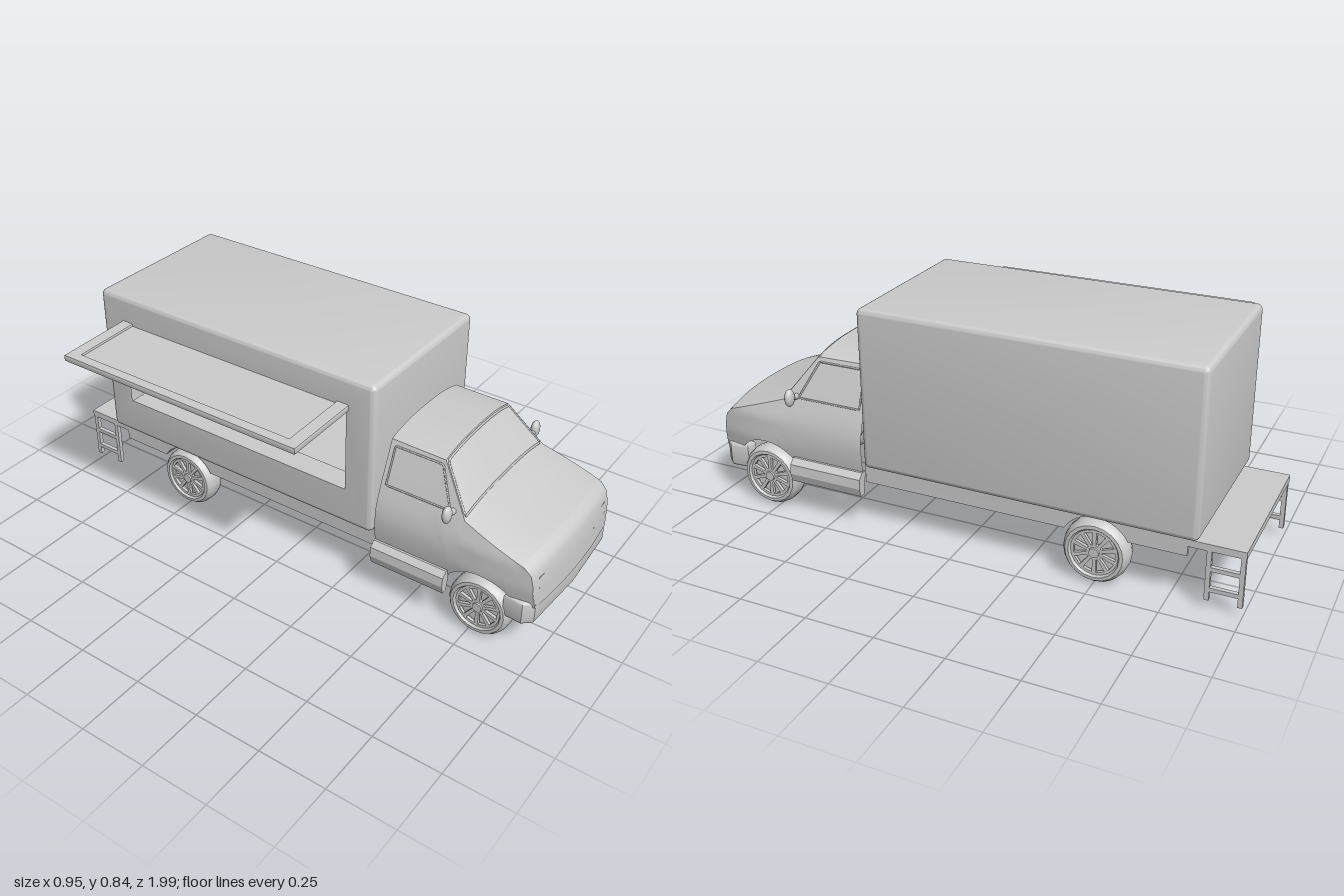
import * as THREE from 'three';
import { toCreasedNormals } from 'three/addons/utils/BufferGeometryUtils.js';
import { RoundedBoxGeometry } from 'three/addons/geometries/RoundedBoxGeometry.js';

const grey = new THREE.MeshStandardMaterial({ color: 0xcccccc });
const thin = new THREE.MeshStandardMaterial({ color: 0xcccccc, side: THREE.DoubleSide });

function add(parent, name, geo, x = 0, y = 0, z = 0, mat = grey) {
  const m = new THREE.Mesh(geo, mat);
  m.name = name;
  m.position.set(x, y, z);
  parent.add(m);
  return m;
}
const box = (w, h, d) => new THREE.BoxGeometry(w, h, d);
const shapeOf = pts => new THREE.Shape(pts.map(p => new THREE.Vector2(...p)));
const extrude = (shape, depth, opts = {}) =>
  new THREE.ExtrudeGeometry(shape, { depth, bevelEnabled: false, curveSegments: 12, ...opts });

// Piecewise linear lookup in [[key, value], ...]
function lookup(table, k) {
  if (k <= table[0][0]) return table[0][1];
  for (let i = 1; i < table.length; i++) {
    const [a, va] = table[i - 1], [b, vb] = table[i];
    if (k <= b) return va + (vb - va) * (k - a) / (b - a);
  }
  return table[table.length - 1][1];
}

// Cab outline rules: half width by height, roof and hood edge height by z
const WIDTH = [[0.2, 0.295], [0.27, 0.308], [0.36, 0.306], [0.44, 0.278], [0.6, 0.213]];
const EDGE = [[0.37, 0.598], [0.58, 0.595], [0.7, 0.436], [0.93, 0.36], [0.955, 0.335], [0.967, 0.29], [0.975, 0.2]];
const cabX = (y, z) => lookup(WIDTH, y) * (1 - 0.07 * Math.max(0, (z - 0.75) / 0.225) ** 2);
const bulge = (s, z) => 0.018 * (1 - s * s) * THREE.MathUtils.smoothstep(z, 0.8, 0.975);

// Point across the top of the cab, s from -1 to 1
function cabTop(z, s) {
  const e = lookup(EDGE, z);
  const crown = 0.026 * Math.min(1, (e - 0.2) / 0.1);
  return new THREE.Vector3(cabX(e, z) * s, e + crown * (1 - Math.abs(s) ** 2.6), z + bulge(s, z));
}
function cabBottom(z) {
  const d = 0.145 ** 2 - (z - 0.78) ** 2;
  return d > 0 ? Math.max(0.2, 0.12 + Math.sqrt(d)) : 0.2;
}

function cabGeometry() {
  const zs = [0.37, 0.42, 0.48, 0.54, 0.58, 0.61];
  for (let z = 0.64; z < 0.94; z += 0.01) zs.push(z);
  zs.push(0.945, 0.955, 0.961, 0.967, 0.971, 0.975);
  const pos = [], idx = [], side = 8, across = 20;
  for (const z of zs) {
    const low = cabBottom(z), high = lookup(EDGE, z), row = [];
    for (let i = 0; i < side; i++) {
      const y = low + (high - low) * i / side;
      row.push([-cabX(y, z), y, z]);
    }
    const right = row.map(([x, y, d]) => [-x, y, d]).reverse();
    for (let i = 0; i <= across; i++) row.push(cabTop(z, -Math.cos(Math.PI * i / across)).toArray());
    row.push(...right);
    row.forEach(p => pos.push(...p));
  }
  const n = 2 * side + across + 1;
  for (let r = 0; r < zs.length - 1; r++) for (let i = 0; i < n - 1; i++) {
    const a = r * n + i, b = a + n;
    idx.push(a, b, a + 1, b, b + 1, a + 1);
  }
  const g = new THREE.BufferGeometry();
  g.setAttribute('position', new THREE.Float32BufferAttribute(pos, 3));
  g.setIndex(idx);
  return toCreasedNormals(g, 0.6);
}

function seal(pts, r = 0.004) {
  const curve = new THREE.CatmullRomCurve3(pts, true, 'catmullrom', 0);
  return new THREE.TubeGeometry(curve, 96, r, 5, true);
}

// Rounded cargo box whose serving side is replaced by a panel with a hatch
function cargoGeometry() {
  const w = 0.63, h = 0.59, d = 1.21, r = 0.02;
  const p = new RoundedBoxGeometry(w, h, d, 3, r).attributes.position.array;
  const keep = [];
  for (let i = 0; i < p.length; i += 9) {
    const flat = [0, 3, 6].every(k => p[i + k] < -w / 2 + 1e-4);
    if (!flat) for (let k = 0; k < 9; k++) keep.push(p[i + k]);
  }
  const a = d / 2 - r, b = h / 2 - r;
  const s = shapeOf([[-a, -b], [a, -b], [a, b], [-a, b]]);
  s.holes.push(shapeOf([[-0.495, -0.15], [-0.495, 0.185], [0.495, 0.185], [0.495, -0.15]]));
  const panel = new THREE.ShapeGeometry(s).toNonIndexed().rotateY(-Math.PI / 2).translate(-w / 2, 0, 0);
  keep.push(...panel.attributes.position.array);
  const g = new THREE.BufferGeometry();
  g.setAttribute('position', new THREE.Float32BufferAttribute(keep, 3));
  return toCreasedNormals(g, 0.7);
}

// Wheel with its outer face towards +x
function makeWheel() {
  const wheel = new THREE.Group();
  const prof = [[0.084, 0.034], [0.09, 0.042], [0.102, 0.041], [0.112, 0.028], [0.116, 0.01], [0.116, -0.015],
    [0.11, -0.034], [0.1, -0.042], [0.086, -0.042], [0.08, -0.03], [0.08, 0.03], [0.084, 0.034]];
  const tyre = new THREE.LatheGeometry(prof.map(q => new THREE.Vector2(...q)), 20).rotateZ(-Math.PI / 2);
  add(wheel, 'tyre', toCreasedNormals(tyre, 0.7), 0, 0, 0, thin);
  const face = new THREE.Shape().absarc(0, 0, 0.085, 0, Math.PI * 2);
  for (let i = 0; i < 10; i++) {
    const a = i * Math.PI / 5, at = (r, t) => [r * Math.cos(a + t), r * Math.sin(a + t)];
    face.holes.push(shapeOf([at(0.028, -0.12), at(0.075, -0.22), at(0.075, 0.22), at(0.028, 0.12)]));
  }
  add(wheel, 'rimSpokes', extrude(face, 0.012).rotateY(Math.PI / 2), 0.022, 0, 0);
  add(wheel, 'rimBack', new THREE.CylinderGeometry(0.08, 0.08, 0.006, 20).rotateZ(Math.PI / 2), 0.012, 0, 0);
  add(wheel, 'hub', new THREE.CylinderGeometry(0.018, 0.022, 0.02, 12).rotateZ(-Math.PI / 2), 0.03, 0, 0);
  return wheel;
}

export function createModel() {
  const model = new THREE.Group();
  const truck = new THREE.Group();
  truck.name = 'foodTruck';
  truck.position.x = 0.135;
  model.add(truck);

  // Cab shell and windscreen seal
  add(truck, 'cab', cabGeometry(), 0, 0, 0, thin);
  const screen = [];
  for (let i = -6; i <= 6; i++) screen.push(cabTop(0.694, i / 6 * 0.97));
  for (let i = 6; i >= -6; i--) screen.push(cabTop(0.585, i / 6 * 0.96));
  add(truck, 'windscreenSeal', seal(screen));

  // Front bumper, wrapping round the corners
  const plan = shapeOf([[-0.285, 0.88], [-0.29, 0.94], [-0.265, 0.967], [0, 0.982], [0.265, 0.967], [0.29, 0.94],
    [0.285, 0.88], [0.255, 0.88], [0.25, 0.93], [-0.25, 0.93], [-0.255, 0.88]]);
  const bumper = extrude(plan, 0.07, { bevelEnabled: true, bevelSize: 0.009, bevelThickness: 0.01, bevelSegments: 3 });
  add(truck, 'frontBumper', toCreasedNormals(bumper.rotateX(Math.PI / 2), 0.7), 0, 0.21, 0);

  for (const s of [-1, 1]) {
    // Side window, mirror, headlight and sill
    const win = [[0.64, 0.45], [0.575, 0.58], [0.39, 0.58], [0.39, 0.45]];
    add(truck, 'sideWindowSeal', seal(win.map(([z, y]) => new THREE.Vector3(s * (cabX(y, z) + 0.001), y, z)), 0.0035));
    add(truck, 'mirror', new THREE.SphereGeometry(1, 16, 12).scale(0.023, 0.033, 0.016), s * 0.314, 0.463, 0.65);
    const arm = add(truck, 'mirrorArm', new THREE.CylinderGeometry(0.009, 0.012, 0.06, 10), s * 0.285, 0.455, 0.65);
    arm.rotation.z = s * -1.4;
    const lamp = add(truck, 'headlight', box(0.11, 0.045, 0.008), s * 0.195, 0.29, 0.973);
    lamp.rotation.set(-0.12, s * 0.09, 0);
    const sill = shapeOf([[0.285, 0.225], [0.308, 0.225], [0.328, 0.205], [0.332, 0.17], [0.322, 0.138], [0.3, 0.138]]
      .map(([x, y]) => [s * x, y]));
    add(truck, 'sill', extrude(sill, 0.29), 0, 0, 0.37);

    // Wheels and rear wheel arch
    for (const z of [0.78, -0.5]) {
      const w = makeWheel();
      w.name = z > 0 ? 'frontWheel' : 'rearWheel';
      w.position.set(s * 0.258, 0.117, z);
      if (s < 0) w.rotation.y = Math.PI;
      truck.add(w);
    }
    const arch = new THREE.CylinderGeometry(0.128, 0.128, 0.1, 16, 1, true, 0.5, Math.PI - 1);
    add(truck, 'rearWheelArch', arch.rotateZ(Math.PI / 2).rotateX(0), s * 0.235, 0.117, -0.5, thin).visible = true;

    // Chassis rail, cut away above the rear wheel
    const rail = new THREE.Shape();
    rail.moveTo(-0.81, 0.255).lineTo(-0.81, 0.18).lineTo(-0.611, 0.18);
    rail.absarc(-0.5, 0.117, 0.128, Math.PI - 0.515, 0.515, true);
    rail.lineTo(0.37, 0.18).lineTo(0.37, 0.255);
    add(truck, 'chassisRail', extrude(rail, 0.02).rotateY(-Math.PI / 2), s * 0.275 + 0.01, 0, 0);

    // Ladder under the rear platform
    for (const z of [-0.88, -0.99]) add(truck, 'ladderPost', box(0.016, 0.19, 0.016), s * 0.275, 0.13, z);
    for (const y of [0.075, 0.15]) add(truck, 'ladderRung', box(0.016, 0.015, 0.1), s * 0.275, y, -0.935);
  }
  // The arch half-tubes are turned so that they open downwards
  truck.children.filter(c => c.name === 'rearWheelArch').forEach(c => {
    c.geometry.computeBoundingBox();
    const b = c.geometry.boundingBox;
    if (Math.abs(b.max.z + b.min.z) > 0.02) c.rotation.x = b.max.z > -b.min.z ? -Math.PI / 2 : Math.PI / 2;
    else if (b.max.y < -b.min.y) c.rotation.x = Math.PI;
  });

  // Cargo body, floor and rear platform
  add(truck, 'cargoBody', cargoGeometry(), 0, 0.545, -0.245, thin);
  add(truck, 'chassisFloor', box(0.55, 0.012, 1.18), 0, 0.249, -0.22);
  add(truck, 'rearCrossRail', box(0.55, 0.03, 0.02), 0, 0.235, -0.8);
  add(truck, 'rearPlatform', box(0.57, 0.025, 0.19), 0, 0.228, -0.905);

  // Serving hatch: sill counter and raised awning
  add(truck, 'counter', box(0.09, 0.012, 0.99), -0.268, 0.388, -0.245);
  const awning = new THREE.Group();
  awning.name = 'awning';
  awning.position.set(-0.315, 0.728, -0.245);
  awning.rotation.z = 0.025;
  truck.add(awning);
  const rim = shapeOf([[0, -0.5], [-0.295, -0.5], [-0.295, 0.5], [0, 0.5], [0, 0.46], [-0.265, 0.46], [-0.265, -0.46], [0, -0.46]]);
  const rimGeo = extrude(rim, 0.014, { bevelEnabled: true, bevelSize: 0.004, bevelThickness: 0.006, bevelSegments: 2 });
  add(awning, 'awningFrame', toCreasedNormals(rimGeo.rotateX(Math.PI / 2), 0.5), 0, 0.007, 0);
  add(awning, 'awningPanel', box(0.27, 0.006, 0.93), -0.133, 0, 0);

  return model;
}
